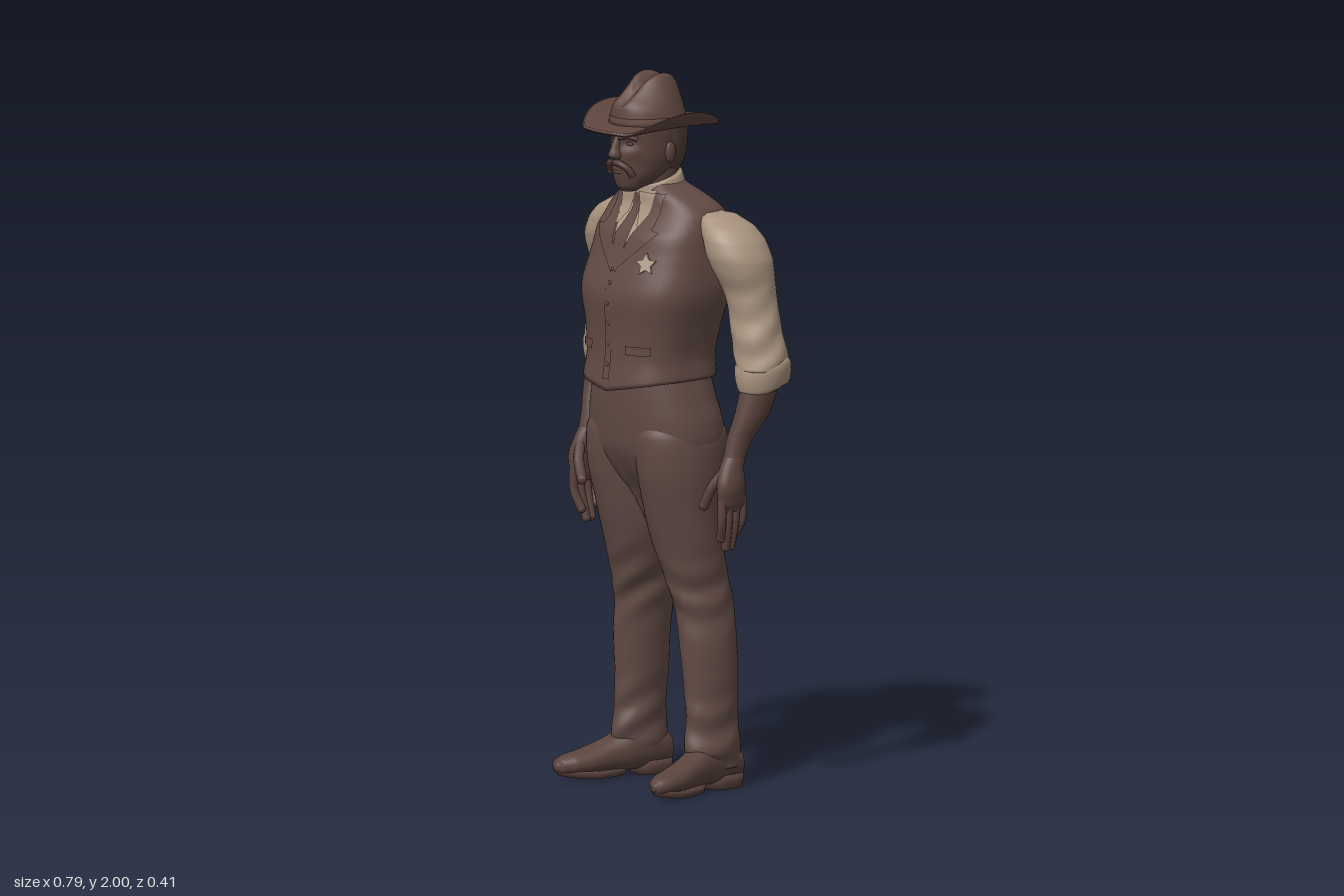
import * as THREE from 'three';

const mat = (name, color) => { const m = new THREE.MeshStandardMaterial({ color }); m.name = name; return m; };

// value of a cross-section row at parameter t after row i (smooth or straight)
function sample(rows, i, t, smooth) {
  const p = k => rows[Math.min(Math.max(k, 0), rows.length - 1)];
  const a = p(i - 1), b = p(i), c = p(i + 1), d = p(i + 2);
  return b.map((v, k) => {
    const lin = v + (c[k] - v) * t;
    if (!smooth || k === 0) return lin;
    const m0 = (c[k] - a[k]) / 2, m1 = (d[k] - v) / 2, t2 = t * t, t3 = t2 * t;
    return (2 * t3 - 3 * t2 + 1) * v + (t3 - 2 * t2 + t) * m0 + (3 * t2 - 2 * t3) * c[k] + (t3 - t2) * m1;
  });
}

// closed skin over rows of [position, centre1, centre2, radius1, radius2]
function loft(rows, { n = 36, steps = 6, power = 2, axis = 'y', smooth = true, bend = null } = {}) {
  const rings = [];
  for (let i = 0; i < rows.length - 1; i++)
    for (let k = 0; k < steps; k++) rings.push(sample(rows, i, k / steps, smooth));
  rings.push(rows[rows.length - 1]);
  const pos = [], idx = [];
  const put = (t, u, v) => {
    const q = axis === 'y' ? new THREE.Vector3(u, t, v) : new THREE.Vector3(u, v, t);
    if (bend) bend(q);
    pos.push(q.x, q.y, q.z);
  };
  const pw = x => Math.sign(x) * Math.abs(x) ** (2 / power);
  const flip = axis === 'y' ? 1 : -1;
  rings.forEach(([t, a, b, ra, rb]) => {
    for (let j = 0; j < n; j++) {
      const w = j / n * Math.PI * 2;
      put(t, a + ra * pw(Math.cos(w)), b + flip * rb * pw(Math.sin(w)));
    }
  });
  for (let r = 0; r < rings.length - 1; r++)
    for (let j = 0; j < n; j++) {
      const p = r * n + j, q = r * n + (j + 1) % n;
      idx.push(p, p + n, q, q, p + n, q + n);
    }
  const last = rings.length - 1, c0 = rings.length * n;
  [rings[0], rings[last]].forEach(([t, a, b]) => put(t, a, b));
  for (let j = 0; j < n; j++) {
    const k = (j + 1) % n;
    idx.push(c0, j, k, c0 + 1, last * n + k, last * n + j);
  }
  const g = new THREE.BufferGeometry();
  g.setAttribute('position', new THREE.Float32BufferAttribute(pos, 3));
  g.setIndex(idx);
  g.computeVertexNormals();
  return g;
}

const tube = (pts, r) => new THREE.TubeGeometry(
  new THREE.CatmullRomCurve3(pts.map(p => new THREE.Vector3(...p))), 14, r, 10);

const TORSO = [
  [1.16, 0, 0.015, 0.18, 0.16], [1.22, 0, 0.01, 0.173, 0.155], [1.3, 0, 0.003, 0.186, 0.16],
  [1.4, 0, -0.008, 0.208, 0.174], [1.5, 0, -0.03, 0.203, 0.16], [1.56, 0, -0.038, 0.197, 0.146],
  [1.61, 0, -0.05, 0.187, 0.118], [1.64, 0, -0.045, 0.165, 0.098], [1.67, 0, -0.03, 0.12, 0.08],
  [1.7, 0, -0.02, 0.065, 0.06]];
const TP = 2.7;

// depth of the chest surface at x, y
function chestZ(x, y) {
  let i = 0;
  while (i < TORSO.length - 2 && TORSO[i + 1][0] < y) i++;
  const t = Math.min(1, Math.max(0, (y - TORSO[i][0]) / (TORSO[i + 1][0] - TORSO[i][0])));
  const [, , cz, rx, rz] = sample(TORSO, i, t, true);
  return cz + rz * (1 - Math.min(0.98, Math.abs(x) / rx) ** TP) ** (1 / TP);
}

// thin cloth panel following the chest, rows of [y, x from, x to] going upward
function panel(rows, off) {
  const pos = [], idx = [], nx = 8, steps = 6;
  let count = 0;
  for (let i = 0; i < rows.length - 1; i++)
    for (let k = i ? 1 : 0; k <= steps; k++, count++) {
      const [y, a, b] = sample(rows, i, k / steps, false);
      const lo = Math.min(a, b), hi = Math.max(a, b);
      for (let j = 0; j <= nx; j++) {
        const x = lo + (hi - lo) * j / nx;
        pos.push(x, y, chestZ(x, y) + off);
      }
    }
  for (let r = 0; r < count - 1; r++)
    for (let j = 0; j < nx; j++) {
      const p = r * (nx + 1) + j, q = p + nx + 1;
      idx.push(p, p + 1, q, p + 1, q + 1, q);
    }
  const g = new THREE.BufferGeometry();
  g.setAttribute('position', new THREE.Float32BufferAttribute(pos, 3));
  g.setIndex(idx);
  g.computeVertexNormals();
  return g;
}

export function createModel() {
  const model = new THREE.Group();
  const vest = mat('vestBrown', 0x624a44), trouser = mat('trouserBrown', 0x624b45), hat = mat('hatBrown', 0x604740),
    skin = mat('skinBrown', 0x5b433d), shirt = mat('shirtTan', 0xa8937f), hair = mat('hairBrown', 0x523d37),
    shoe = mat('shoeBrown', 0x5a433d), metal = mat('badgeMetal', 0xb3a08e);
  const add = (name, g, m, x = 0, y = 0, z = 0) => {
    const o = new THREE.Mesh(g, m);
    o.name = name; o.position.set(x, y, z); model.add(o);
    return o;
  };
  const ball = (name, m, p, s) => add(name, new THREE.SphereGeometry(1, 18, 12), m, ...p).scale.set(...s);
  const bump = (d, w) => Math.exp(-((d / w) ** 2));

  // vest with its hem dipping at the front
  add('vest', loft(TORSO, { n: 56, power: TP, bend: q => {
    if (q.z > 0 && q.y < 1.25) q.y -= 0.035 * (1.25 - q.y) / 0.09 * Math.max(0, 1 - Math.abs(q.x) / 0.18);
    if (q.z < -0.08) q.z += 0.006 * bump(q.x, 0.025) * bump(q.y - 1.42, 0.15);
  } }), vest);
  add('shirtFront', panel([[1.54, -0.025, 0.025], [1.6, -0.056, 0.056], [1.68, -0.06, 0.06]], 0.004), shirt);
  add('tie', panel([[1.47, -0.014, 0.014], [1.56, -0.028, 0.028], [1.635, -0.013, 0.013], [1.67, -0.022, 0.022]], 0.009), vest);
  // collar standing higher at the nape
  add('collarBand', loft([[1.64, 0, -0.02, 0.08, 0.076], [1.675, 0, -0.016, 0.074, 0.074], [1.705, 0, -0.012, 0.068, 0.07],
    [1.712, 0, -0.01, 0.062, 0.064]], { steps: 4, bend: q => { q.y -= q.z * 0.28; } }), shirt);
  add('vestPlacket', panel([[1.16, -0.012, 0.014], [1.46, -0.012, 0.014]], 0.003), vest);
  for (let k = 0; k < 5; k++) {
    const y = 1.2 + k * 0.057;
    ball('button', vest, [0, y, chestZ(0, y) + 0.003], [0.006, 0.006, 0.003]);
  }

  // star badge on the left breast
  const star = new THREE.Shape();
  for (let k = 0; k < 10; k++) {
    const r = k % 2 ? 0.016 : 0.032, a = k / 10 * Math.PI * 2 + Math.PI / 2;
    star[k ? 'lineTo' : 'moveTo'](r * Math.cos(a), r * Math.sin(a));
  }
  const badge = add('starBadge', new THREE.ExtrudeGeometry(star, { depth: 0.008, bevelEnabled: false }), metal,
    0.115, 1.49, chestZ(0.115, 1.49) + 0.005);
  badge.rotation.set(-0.25, 0.35, 0.15);

  // hips, with a cleft behind and a soft fold in front
  add('hips', loft([[0.75, 0, -0.01, 0.02, 0.04], [0.84, 0, -0.01, 0.06, 0.088], [0.9, 0, -0.01, 0.14, 0.122],
    [0.96, 0, -0.01, 0.203, 0.145], [1.03, 0, -0.008, 0.208, 0.151], [1.1, 0, 0.002, 0.19, 0.146], [1.2, 0, 0.01, 0.165, 0.14]],
  { n: 48, power: 2.3, bend: q => {
    if (q.z < -0.05) q.z += 0.03 * bump(q.x, 0.03) * bump(q.y - 0.9, 0.1);
    if (q.z > 0.05) q.z -= 0.012 * bump(q.x, 0.02) * bump(q.y - 0.86, 0.08);
  } }), trouser);

  for (const s of [1, -1]) {
    const side = s > 0 ? 'left' : 'right';
    const part = (name, rows, m, o) => add(side + name, loft(rows.map(r => [r[0], s * r[1], ...r.slice(2)]), o), m);

    // lapel, collar wing and pocket
    add(side + 'Lapel', panel([[1.46, 0, s * 0.008], [1.55, s * 0.032, s * 0.105], [1.575, s * 0.042, s * 0.125],
      [1.58, s * 0.044, s * 0.098], [1.675, s * 0.062, s * 0.094]], 0.009), vest);
    add(side + 'CollarWing', panel([[1.585, s * 0.04, s * 0.046], [1.62, s * 0.02, s * 0.062], [1.675, s * 0.008, s * 0.068]], 0.012), shirt);
    add(side + 'Pocket', panel([[1.235, s * 0.07, s * 0.14], [1.26, s * 0.07, s * 0.14]], 0.006), vest);

    // shirt sleeve with soft folds, tucked under the armhole, and a rolled cuff
    part('Sleeve', [[1.2, 0.324, -0.12, 0.068, 0.077], [1.24, 0.316, -0.118, 0.074, 0.077], [1.3, 0.303, -0.114, 0.072, 0.072],
      [1.4, 0.284, -0.11, 0.071, 0.073], [1.5, 0.264, -0.09, 0.086, 0.092], [1.555, 0.243, -0.084, 0.08, 0.09],
      [1.59, 0.217, -0.08, 0.07, 0.077], [1.617, 0.185, -0.075, 0.05, 0.055], [1.625, 0.175, -0.07, 0.02, 0.03]], shirt, { steps: 8, bend: q => {
      const f = 0.003 * Math.sin(q.y * 70 + q.z * 55 + s * q.x * 25) * Math.max(0, Math.min(1, (1.5 - q.y) * 5));
      q.x += f; q.z += f;
      q.x = s * Math.max(s * q.x, 0.17);
    } });
    part('Cuff', [[1.145, 0.326, -0.118, 0.05, 0.06], [1.155, 0.326, -0.119, 0.062, 0.075], [1.185, 0.324, -0.12, 0.071, 0.082],
      [1.215, 0.322, -0.12, 0.074, 0.081], [1.238, 0.318, -0.119, 0.066, 0.07]], shirt, { bend: q => {
      q.y += 0.01 * Math.sin(q.z * 30) - 0.005;
    } });

    // forearm and hand
    part('Forearm', [[0.92, 0.309, -0.02, 0.024, 0.03], [1, 0.309, -0.045, 0.031, 0.039], [1.08, 0.322, -0.083, 0.042, 0.053],
      [1.19, 0.328, -0.113, 0.048, 0.058]], skin);
    part('Palm', [[0.81, 0.313, -0.014, 0.014, 0.036], [0.83, 0.315, -0.013, 0.021, 0.044], [0.88, 0.317, -0.01, 0.028, 0.046],
      [0.93, 0.31, -0.018, 0.028, 0.038], [0.99, 0.308, -0.04, 0.024, 0.03]], skin);
    [0.725, 0.698, 0.7, 0.735].forEach((y, k) => {
      const z = 0.022 - k * 0.024, tip = [s * 0.297, y + 0.008, z * 0.75 - 0.006];
      add(side + 'Finger', tube([[s * 0.316, 0.85, z], [s * 0.315, 0.785, z], tip], 0.0125), skin);
      ball(side + 'Fingertip', skin, tip, [0.0125, 0.0125, 0.0125]);
    });
    add(side + 'Thumb', tube([[s * 0.308, 0.925, 0.004], [s * 0.283, 0.875, 0.032], [s * 0.26, 0.825, 0.04]], 0.0145), skin);
    ball(side + 'ThumbTip', skin, [s * 0.26, 0.825, 0.04], [0.0145, 0.0155, 0.0145]);

    // trouser leg with folds and a front crease
    part('TrouserLeg', [[0.06, 0.155, -0.095, 0.05, 0.072], [0.11, 0.156, -0.08, 0.056, 0.09], [0.2, 0.153, -0.08, 0.054, 0.083],
      [0.3, 0.147, -0.08, 0.061, 0.085], [0.4, 0.142, -0.076, 0.067, 0.088], [0.5, 0.129, -0.074, 0.07, 0.09],
      [0.58, 0.118, -0.058, 0.075, 0.095], [0.7, 0.105, -0.03, 0.094, 0.102], [0.8, 0.103, -0.012, 0.1, 0.112],
      [0.9, 0.105, -0.01, 0.106, 0.135], [1, 0.098, -0.01, 0.11, 0.143], [1.06, 0.09, -0.005, 0.09, 0.12]], trouser, { n: 40, steps: 8, bend: q => {
      const f = 0.004 * Math.sin(q.y * 62 + s * q.x * 40 + q.z * 22) * (bump(q.y - 0.16, 0.1) + bump(q.y - 0.55, 0.09));
      q.x += f; q.z += f;
      if (q.z > -0.04) q.z += 0.006 * bump(s * q.x - 0.15, 0.012) * bump(q.y - 0.38, 0.2);
    } });

    // shoe, sole and heel
    part('Shoe', [[-0.178, 0.15, 0.06, 0.02, 0.025], [-0.165, 0.15, 0.065, 0.042, 0.045], [-0.1, 0.152, 0.075, 0.051, 0.06],
      [-0.03, 0.16, 0.073, 0.052, 0.058], [0.03, 0.176, 0.06, 0.05, 0.045], [0.09, 0.19, 0.049, 0.05, 0.035],
      [0.14, 0.2, 0.044, 0.043, 0.029], [0.17, 0.206, 0.041, 0.027, 0.021], [0.182, 0.208, 0.039, 0.008, 0.008]], shoe, { axis: 'z', power: 2.2 });
    part('Sole', [[0.004, 0, 0, 0.048, 0.1], [0.024, 0, 0, 0.051, 0.108]], shoe, { smooth: false, steps: 2, bend: q => {
      q.y += 0.012 * Math.max(0, q.z / 0.108) ** 2;
      q.x += s * (0.187 + q.z * 0.2); q.z += 0.068;
    } });
    part('Heel', [[0, 0.151, -0.118, 0.044, 0.058], [0.04, 0.151, -0.118, 0.047, 0.06]], shoe, { smooth: false, steps: 2, power: 2.8 });

    // ear, eye, brow and moustache half
    ball(side + 'Ear', skin, [s * 0.089, 1.79, 0.016], [0.01, 0.03, 0.018]);
    ball(side + 'Eye', hair, [s * 0.034, 1.817, 0.117], [0.012, 0.005, 0.007]);
    add(side + 'Brow', tube([[s * 0.014, 1.834, 0.139], [s * 0.04, 1.84, 0.129], [s * 0.06, 1.832, 0.111]], 0.0065), hair);
    add(side + 'Moustache', tube([[0, 1.765, 0.143], [s * 0.025, 1.76, 0.139], [s * 0.042, 1.745, 0.126], [s * 0.046, 1.728, 0.117]], 0.0095), hair);
  }

  // neck and head
  add('neck', loft([[1.64, 0, -0.012, 0.062, 0.063], [1.7, 0, -0.006, 0.06, 0.064], [1.78, 0, 0, 0.065, 0.07]]), skin);
  add('head', loft([[1.68, 0, 0.09, 0.022, 0.024], [1.695, 0, 0.077, 0.043, 0.049], [1.73, 0, 0.05, 0.068, 0.084],
    [1.77, 0, 0.034, 0.083, 0.103], [1.82, 0, 0.028, 0.088, 0.111], [1.87, 0, 0.025, 0.09, 0.11], [1.91, 0, 0.025, 0.08, 0.098]],
  { n: 48, bend: q => {
    if (q.z > 0.05) q.z -= 0.016 * bump(Math.abs(q.x) - 0.034, 0.022) * bump(q.y - 1.818, 0.016)
      + 0.006 * bump(Math.abs(q.x) - 0.055, 0.02) * bump(q.y - 1.755, 0.025);
  } }), skin);
  add('nose', loft([[1.772, 0, 0.136, 0.014, 0.014], [1.784, 0, 0.141, 0.018, 0.021], [1.805, 0, 0.137, 0.012, 0.018],
    [1.84, 0, 0.128, 0.01, 0.012]], { n: 20 }), skin);
  ball('lowerLip', skin, [0, 1.736, 0.128], [0.02, 0.007, 0.009]);
  add('hair', loft([[1.725, 0, -0.02, 0.055, 0.052], [1.76, 0, -0.016, 0.078, 0.068], [1.82, 0, -0.012, 0.09, 0.08],
    [1.88, 0, -0.01, 0.092, 0.08]]), hair);

  // hat brim, curled up at the sides
  add('hatBrim', loft([[1.859, 0, 0.012, 0.06, 0.08], [1.861, 0, 0.012, 0.16, 0.187], [1.866, 0, 0.012, 0.165, 0.192],
    [1.871, 0, 0.012, 0.16, 0.187], [1.873, 0, 0.012, 0.06, 0.08]], { n: 72, steps: 10, smooth: false, power: 2.25, bend: q => {
    const u = Math.abs(q.x) / 0.165;
    q.y += 0.043 * u ** 4 - 0.008 * bump(u - 0.6, 0.2) - 0.01 * ((q.z - 0.012) / 0.192) ** 2;
  } }), hat);
  // creased crown, pinched towards the front
  add('hatCrown', loft([[1.862, 0, 0.02, 0.1, 0.117], [1.89, 0, 0.022, 0.094, 0.111], [1.935, 0, 0.024, 0.08, 0.102],
    [1.97, 0, 0.02, 0.064, 0.088], [1.995, 0, 0.01, 0.049, 0.064], [2.005, 0, 0.006, 0.034, 0.04], [2.007, 0, 0.006, 0.01, 0.012]],
  { n: 56, bend: q => {
    const up = THREE.MathUtils.smoothstep(q.y, 1.9, 1.99), fwd = THREE.MathUtils.smoothstep(q.z, 0, 0.12);
    q.x *= 1 - 0.45 * up * fwd;
    q.y -= up * (0.034 * bump(q.x, 0.02) + 0.02 * fwd);
  } }), hat);
  add('hatBand', loft([[1.864, 0, 0.02, 0.101, 0.118], [1.888, 0, 0.022, 0.0965, 0.113]], { n: 56, smooth: false, steps: 2 }), hat);

  return model;
}
